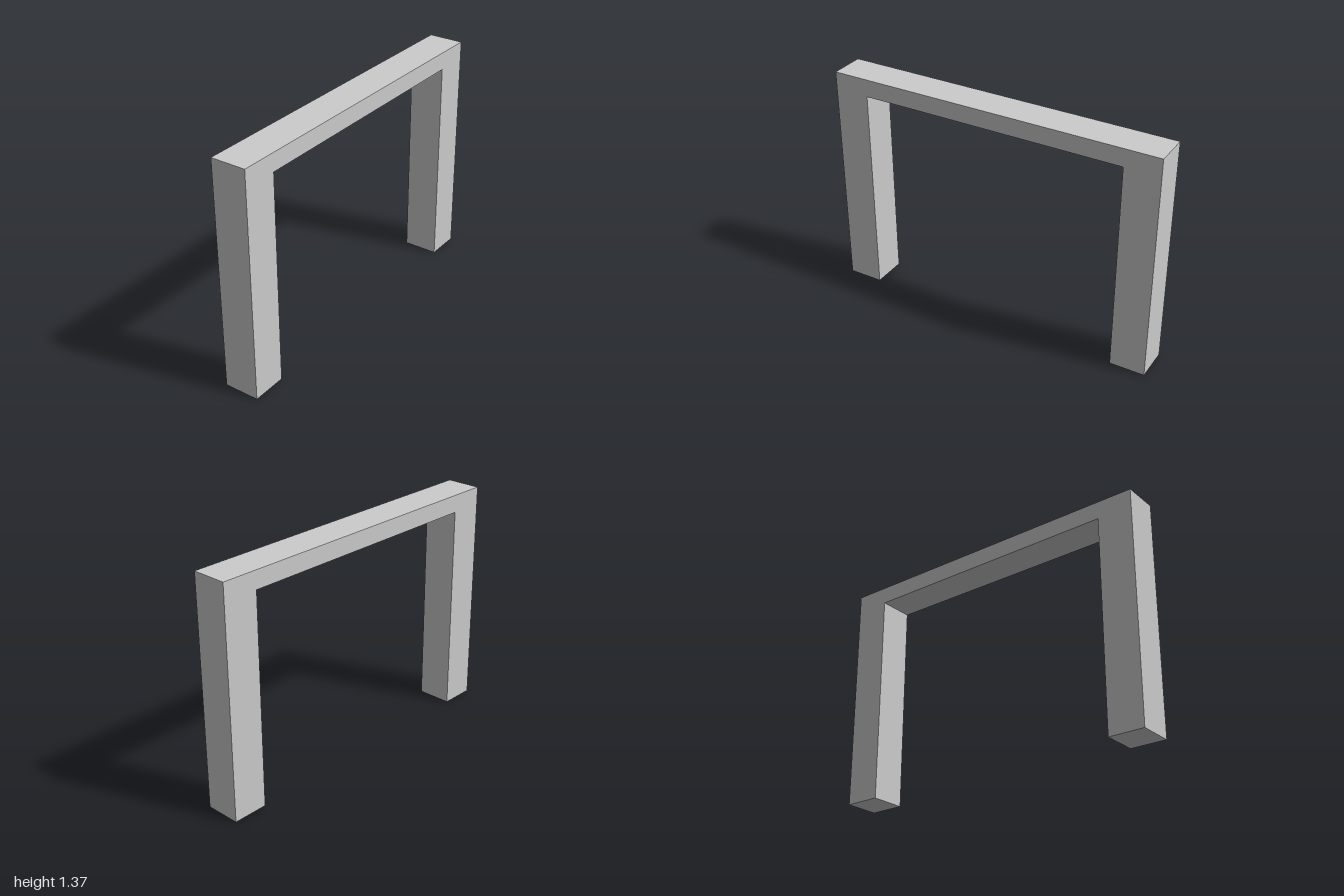
import * as THREE from 'three';

const WIDTH = 2, HEIGHT = 1.37, DEPTH = 0.21;
const LEG = 0.21, BEAM = 0.105;

export function createModel() {
  const group = new THREE.Group();
  group.name = 'doorFrame';

  // Two square posts joined by a thin lintel, as one continuous outline
  const outer = WIDTH / 2, inner = outer - LEG, under = HEIGHT - BEAM;
  const outline = new THREE.Shape([
    [-outer, 0], [-inner, 0], [-inner, under], [inner, under],
    [inner, 0], [outer, 0], [outer, HEIGHT], [-outer, HEIGHT],
  ].map(([x, y]) => new THREE.Vector2(x, y)));

  const geometry = new THREE.ExtrudeGeometry(outline, { depth: DEPTH, bevelEnabled: false });
  geometry.translate(0, 0, -DEPTH / 2);

  const frame = new THREE.Mesh(
    geometry,
    new THREE.MeshStandardMaterial({ color: 0xcccccc, flatShading: true }),
  );
  frame.name = 'postsAndLintel';
  group.add(frame);
  return group;
}
